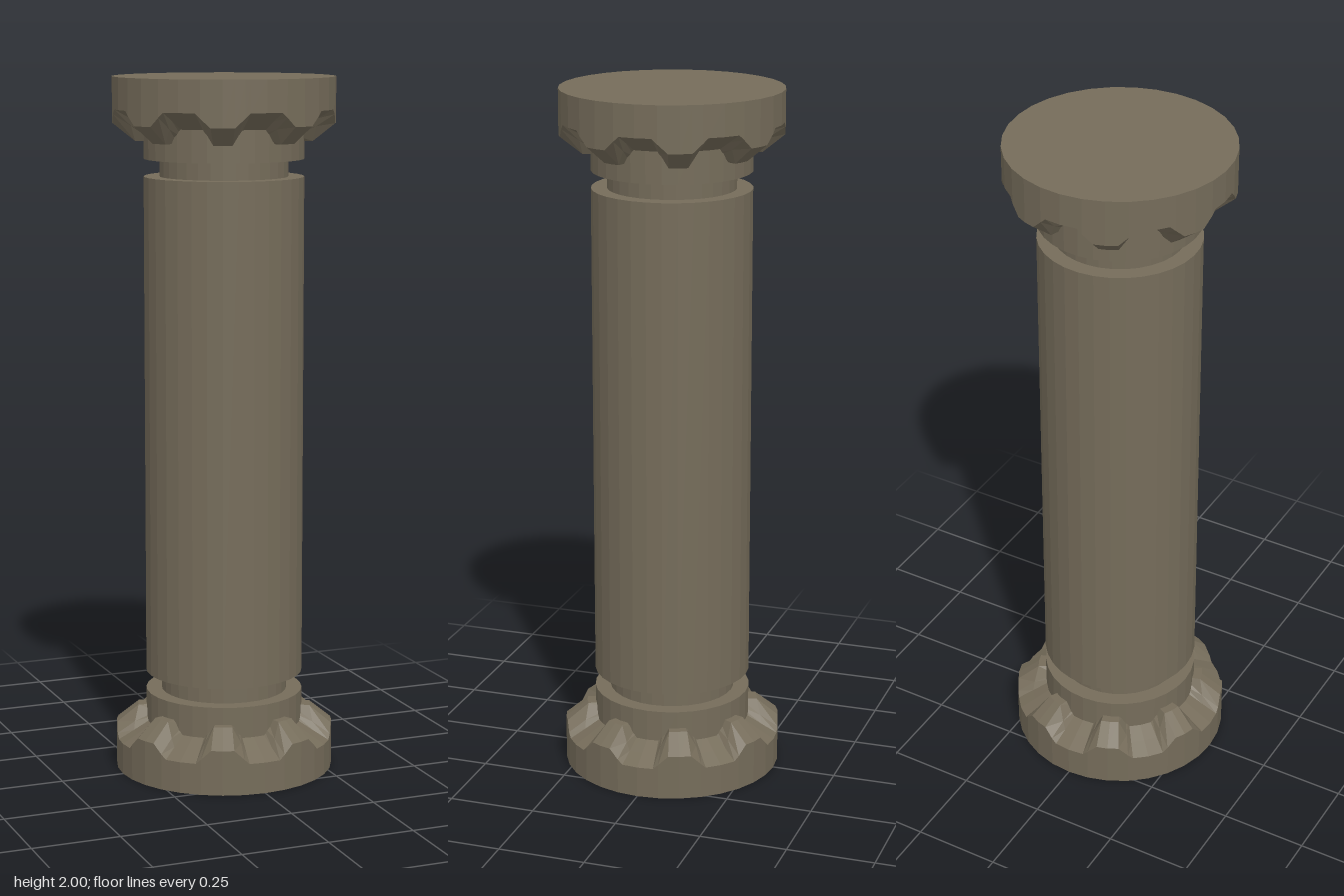
import * as THREE from 'three';

const SIDES = 32, LOBES = 8, R = 0.315;
const material = new THREE.MeshStandardMaterial({ color: 0x756c5a, flatShading: true, roughness: 0.9 });

// Radius of a 32-sided polygon at an angle in degrees
function polygonRadius(r, deg) {
  const step = 360 / SIDES;
  const offset = THREE.MathUtils.degToRad((deg % step) - step / 2);
  return r * Math.cos(Math.PI / SIDES) / Math.cos(offset);
}

// Round plinth whose sloping shoulder is cut by eight grooves
function scallopedGeometry() {
  const angles = [];
  for (let k = 0; k < LOBES; k++)
    for (const a of [0, 8.5, 11.25, 16.5, 22.5, 28.5, 33.75, 36.5]) angles.push(k * 45 + a);

  // Each ring: [groove radius, groove height, ridge radius, ridge height]
  const profile = [
    [0, 0, 0, 0],
    [R, 0, R, 0],
    [R, 0.09, R, 0.13],
    [0.27, 0.115, 0.252, 0.18],
    [0.2, 0.155, 0.2, 0.18],
  ];
  const point = (ring, j) => {
    const deg = angles[j % angles.length], a = THREE.MathUtils.degToRad(deg);
    const fromGroove = Math.min(deg % 45, 45 - (deg % 45));
    const t = THREE.MathUtils.clamp((fromGroove - 8.5) / 8, 0, 1);
    const r = polygonRadius(THREE.MathUtils.lerp(ring[0], ring[2], t), deg);
    return [r * Math.sin(a), THREE.MathUtils.lerp(ring[1], ring[3], t), r * Math.cos(a)];
  };
  const pos = [];
  for (let i = 0; i < profile.length - 1; i++) {
    for (let j = 0; j < angles.length; j++) {
      const a = point(profile[i], j), b = point(profile[i], j + 1);
      const c = point(profile[i + 1], j + 1), d = point(profile[i + 1], j);
      if (i > 0) pos.push(...a, ...b, ...c);
      pos.push(...a, ...c, ...d);
    }
  }
  const g = new THREE.BufferGeometry();
  g.setAttribute('position', new THREE.Float32BufferAttribute(pos, 3));
  g.computeVertexNormals();
  return g;
}

function drum(name, r, y0, y1) {
  const mesh = new THREE.Mesh(new THREE.CylinderGeometry(r, r, y1 - y0, SIDES), material);
  mesh.position.y = (y0 + y1) / 2;
  mesh.name = name;
  return mesh;
}

// Plinth, collar and recessed neck, used at both ends
function columnEnd(name) {
  const end = new THREE.Group();
  end.name = name;
  const plinth = new THREE.Mesh(scallopedGeometry(), material);
  plinth.name = 'scallopedPlinth';
  end.add(plinth, drum('collar', 0.227, 0.12, 0.23), drum('neck', 0.182, 0.23, 0.285));
  return end;
}

export function createModel() {
  const column = new THREE.Group();
  column.name = 'column';
  const base = columnEnd('base');
  // The capital is the base turned upside down
  const capital = columnEnd('capital');
  capital.rotation.x = Math.PI;
  capital.position.y = 2;
  column.add(base, drum('shaft', 0.227, 0.285, 1.72), capital);
  return column;
}
